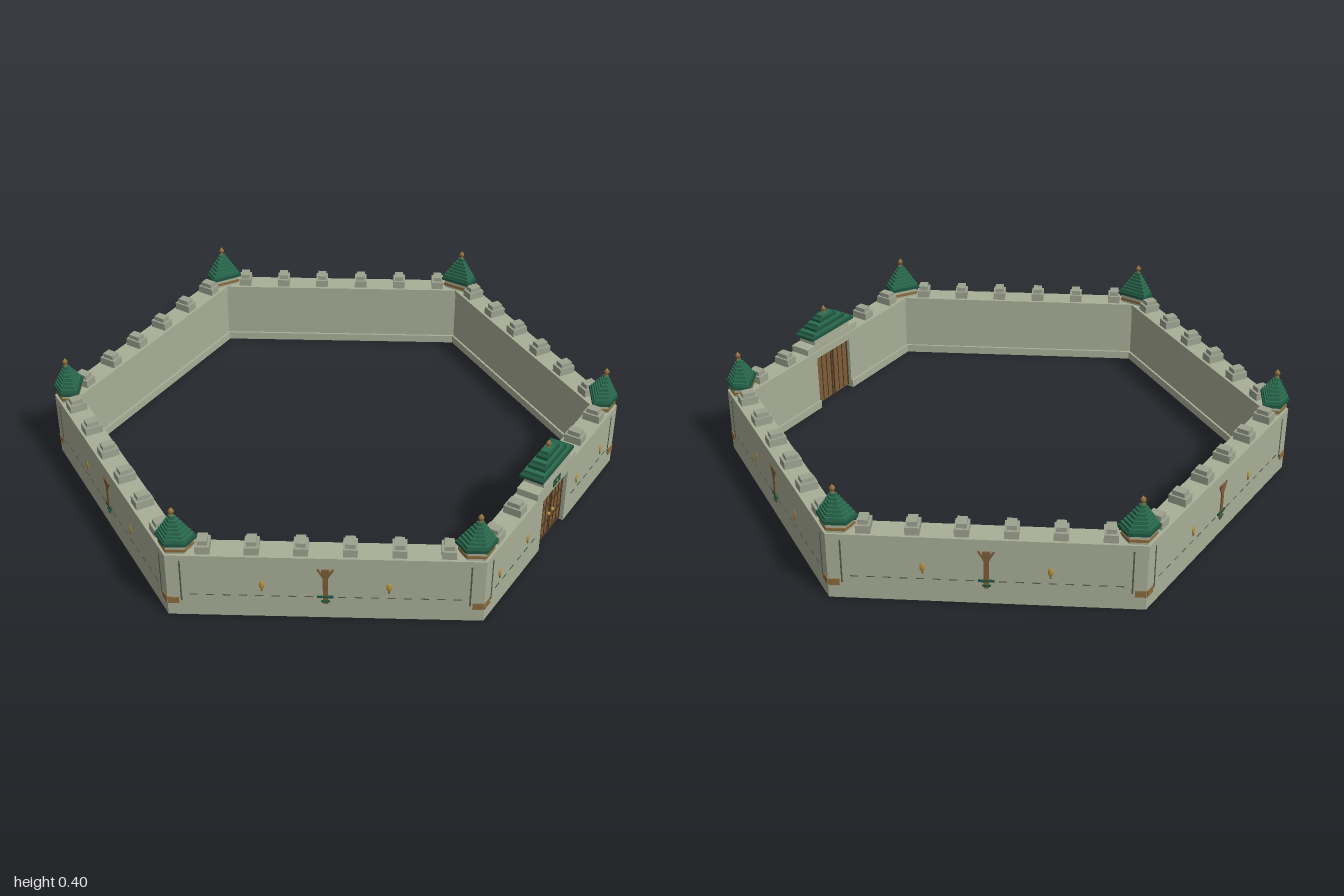
import * as THREE from 'three';

const mat = (name, color) => Object.assign(new THREE.MeshStandardMaterial({ color }), { name });

export function createModel() {
  const root = new THREE.Group();
  root.name = 'hexagonalFortress';
  const stone = mat('pale stone', 0xa9af98);
  const cap = mat('grey stone', 0x9da28f);
  const groove = mat('dark stone', 0x555a4b);
  const green = mat('green tile', 0x2b6e51);
  const deepGreen = mat('deep green', 0x1f5640);
  const wood = mat('wood', 0x7d5d38);
  const darkWood = mat('dark wood', 0x543c25);
  const bronze = mat('bronze', 0x8c6b3d);
  const gold = mat('gold', 0xb8923f);

  const add = (parent, name, geo, material, x = 0, y = 0, z = 0) => {
    const m = new THREE.Mesh(geo, material);
    m.name = name;
    m.position.set(x, y, z);
    parent.add(m);
    return m;
  };
  const box = (p, name, m, w, h, d, x, y, z) => add(p, name, new THREE.BoxGeometry(w, h, d), m, x, y, z);

  // Upright prism from a plan outline of [x, z] points
  const prism = (p, name, m, pts, y0, y1) => {
    const shape = new THREE.Shape(pts.map(([x, z]) => new THREE.Vector2(x, -z)));
    const geo = new THREE.ExtrudeGeometry(shape, { depth: y1 - y0, bevelEnabled: false });
    geo.rotateX(-Math.PI / 2);
    return add(p, name, geo, m, 0, y0, 0);
  };

  const OUT = 0.866, IN = 0.79, MID = 0.826, TOP = 0.242, GATE = 0.095;
  const T30 = Math.tan(Math.PI / 6);

  // Mitred wall strip between two distances from the centre, optionally with a gate gap
  const strip = (p, name, m, a, b, y0, y1, gap) => {
    if (!gap) {
      prism(p, name, m, [[-b * T30, b], [b * T30, b], [a * T30, a], [-a * T30, a]], y0, y1);
      return;
    }
    for (const s of [-1, 1])
      prism(p, name, m, [[s * gap, b], [s * b * T30, b], [s * a * T30, a], [s * gap, a]], y0, y1);
  };

  // Round knob on a short neck
  const finial = (p, x, y, z, s = 1) => {
    add(p, 'finialNeck', new THREE.CylinderGeometry(0.005 * s, 0.009 * s, 0.02 * s, 8), bronze, x, y + 0.008 * s, z);
    add(p, 'finialBall', new THREE.SphereGeometry(0.012 * s, 10, 8), bronze, x, y + 0.023 * s, z);
    add(p, 'finialTip', new THREE.ConeGeometry(0.006 * s, 0.012 * s, 8), gold, x, y + 0.037 * s, z);
  };

  // Thin wall post with forked top and a green cross strip
  const postOrnament = (p) => {
    const z = OUT + 0.001;
    box(p, 'ornamentPost', wood, 0.016, 0.13, 0.005, 0, 0.125, z);
    box(p, 'ornamentHead', wood, 0.026, 0.022, 0.006, 0, 0.188, z);
    for (const s of [-1, 1])
      box(p, 'ornamentBranch', wood, 0.006, 0.045, 0.005, s * 0.014, 0.18, z).rotation.z = -s * 0.5;
    box(p, 'ornamentStrip', deepGreen, 0.052, 0.008, 0.007, 0, 0.088, z);
    box(p, 'ornamentStripLow', deepGreen, 0.028, 0.006, 0.007, 0, 0.07, z);
  };

  const lantern = (p, x) => {
    const m = add(p, 'lantern', new THREE.SphereGeometry(0.01, 8, 6), gold, x, 0.13, OUT);
    m.scale.set(0.9, 1.6, 0.4);
    box(p, 'lanternBracket', bronze, 0.006, 0.012, 0.006, x, 0.113, OUT);
  };

  // Six walls; the first carries the gate
  for (let k = 0; k < 6; k++) {
    const wall = new THREE.Group();
    wall.name = k ? 'wall' : 'gateWall';
    wall.rotation.y = Math.PI / 6 + k * Math.PI / 3;
    root.add(wall);
    const gap = k ? 0 : GATE;

    strip(wall, 'wallBody', stone, IN, OUT, 0, k ? TOP : 0.21, gap);
    if (!k) strip(wall, 'wallLintel', stone, IN, OUT, 0.21, TOP);
    strip(wall, 'innerPlinth', stone, IN - 0.008, IN, 0, 0.03, gap);
    strip(wall, 'innerCornice', stone, IN - 0.005, IN, 0.222, TOP, 0);

    // Battlements
    for (const t of [-0.383, -0.23, -0.077, 0.077, 0.23, 0.383]) {
      if (!k && Math.abs(t) < 0.1) continue;
      box(wall, 'merlon', cap, 0.046, 0.028, 0.062, t, TOP + 0.014, MID);
      box(wall, 'merlonCap', cap, 0.032, 0.016, 0.044, t, TOP + 0.036, MID);
    }

    // Corner grooves and bronze straps
    for (const s of [-1, 1]) {
      box(wall, 'cornerGroove', groove, 0.005, 0.16, 0.003, s * 0.455, 0.14, OUT);
      box(wall, 'cornerStrap', bronze, 0.036, 0.024, 0.005, s * 0.481, 0.06, OUT);
    }

    // Dashed trim line
    for (let i = -8; i <= 8; i++) {
      const t = i * 0.052;
      if (!k && Math.abs(t) < 0.13) continue;
      if (k && i === 0) continue;
      box(wall, 'trimDash', k ? groove : deepGreen, 0.026, 0.003, 0.003, t, 0.086, OUT);
    }

    for (const t of k ? [-0.2, 0.2] : [-0.4, -0.2, 0.18, 0.38]) lantern(wall, t);
    if (k) postOrnament(wall);
    else buildGate(wall);
  }

  function buildGate(p) {
    // Stepped parapet over the gate
    box(p, 'gateParapet', stone, 0.29, 0.025, OUT - IN, 0, TOP + 0.0125, (OUT + IN) / 2);
    box(p, 'gateHead', stone, 0.2, 0.03, OUT - IN - 0.004, 0, 0.28, (OUT + IN) / 2);

    // Double doors, dressed on both faces
    for (const s of [-1, 1]) {
      box(p, 'doorLeaf', wood, 0.09, 0.2, 0.05, s * 0.0465, 0.11, MID);
      for (const f of [-1, 1]) {
        const z = MID + f * 0.026;
        for (const x of [0.006, 0.088]) box(p, 'doorStile', darkWood, 0.005, 0.2, 0.004, s * x, 0.11, z);
        for (const x of [0.033, 0.06]) box(p, 'doorPlankSeam', darkWood, 0.002, 0.19, 0.003, s * x, 0.11, z);
      }
      for (const y of [0.02, 0.075, 0.145, 0.2])
        box(p, 'doorBrace', darkWood, 0.086, 0.007, 0.005, s * 0.0465, y, MID + 0.027);
      add(p, 'doorKnob', new THREE.SphereGeometry(0.007, 8, 6), gold, s * 0.015, 0.1, MID + 0.03);
    }

    // Green crest
    box(p, 'crest', deepGreen, 0.05, 0.026, 0.006, 0, 0.236, OUT);
    box(p, 'crestGem', gold, 0.01, 0.01, 0.008, 0, 0.238, OUT).rotation.z = Math.PI / 4;

    // Stepped roof
    for (let i = 0; i < 6; i++)
      box(p, 'gateRoofStep', i % 2 ? green : deepGreen, 0.24 - i * 0.036, 0.011, 0.084 - i * 0.011,
        0, 0.2985 + i * 0.0105, MID);
    finial(p, 0, 0.354, MID, 0.75);
  }

  // Six corner turrets with pointed five-sided stepped roofs
  const plan = [[0, 0.05], [0.06, 0.015], [0.06, -0.045], [-0.06, -0.045], [-0.06, 0.015]];
  const scaled = (s) => plan.map(([x, z]) => [x * s, 0.95 + z * s]);
  for (let k = 0; k < 6; k++) {
    const turret = new THREE.Group();
    turret.name = 'cornerTurret';
    turret.rotation.y = k * Math.PI / 3;
    root.add(turret);
    prism(turret, 'turretDrum', stone, scaled(0.82), TOP, 0.282);
    prism(turret, 'turretBand', bronze, scaled(0.87), 0.25, 0.26);
    for (let i = 0; i < 8; i++)
      prism(turret, 'turretRoofStep', i ? green : deepGreen, scaled(1 - i * 0.115), 0.275 + i * 0.0115, 0.2865 + i * 0.0115);
    finial(turret, 0, 0.365, 0.95, 0.8);
  }
  return root;
}
